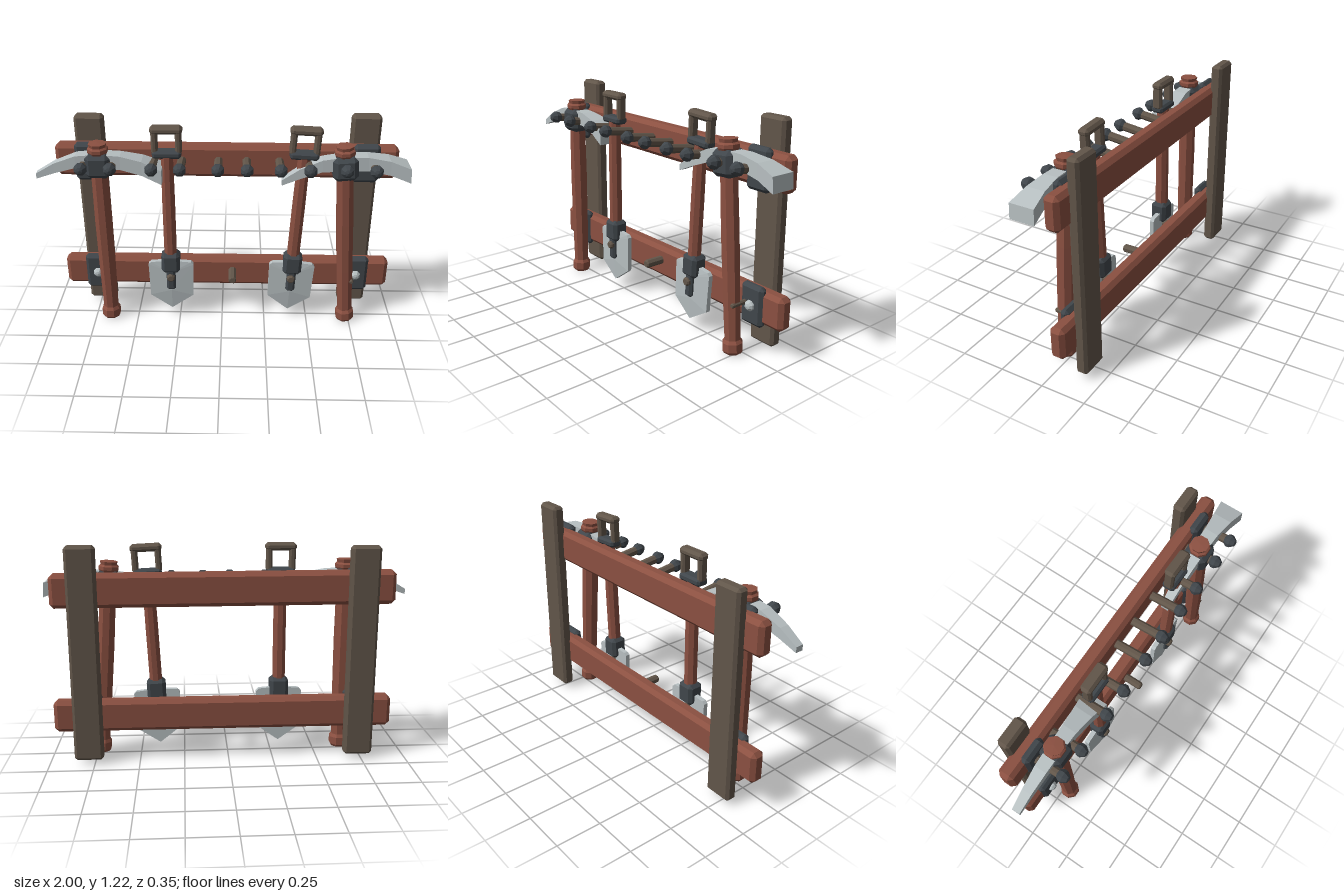
import * as THREE from 'three';
import { ConvexGeometry } from 'three/addons/geometries/ConvexGeometry.js';

const material = (name, color) => {
  const m = new THREE.MeshStandardMaterial({ color });
  m.name = name;
  return m;
};

// Faceted normals without changing the material
const flat = (geo) => {
  const g = geo.index ? geo.toNonIndexed() : geo;
  g.computeVertexNormals();
  return g;
};

// Box with chamfered edges, given by its size and chamfer width
function chamferBox(w, h, d, c) {
  const a = w / 2, b = h / 2, e = d / 2, pts = [];
  for (const x of [-1, 1]) for (const y of [-1, 1]) for (const z of [-1, 1]) {
    pts.push(
      new THREE.Vector3(x * a, y * (b - c), z * (e - c)),
      new THREE.Vector3(x * (a - c), y * b, z * (e - c)),
      new THREE.Vector3(x * (a - c), y * (b - c), z * e));
  }
  return new ConvexGeometry(pts);
}

// Faceted turned shape from [radius, height] pairs, flat side forward
function turned(profile, sides = 8) {
  const pts = profile.map(([r, y]) => new THREE.Vector2(r, y));
  return flat(new THREE.LatheGeometry(pts, sides, Math.PI / sides));
}

export function createModel() {
  const model = new THREE.Group();
  model.name = 'toolRack';
  const redWood = material('redWood', 0x8b5041);
  const darkWood = material('darkWood', 0x62564a);
  const iron = material('iron', 0x40464b);
  const steel = material('steel', 0xb8c0c2);

  const add = (parent, name, geo, mat, x = 0, y = 0, z = 0) => {
    const mesh = new THREE.Mesh(geo, mat);
    mesh.name = name;
    mesh.position.set(x, y, z);
    parent.add(mesh);
    return mesh;
  };

  // Rack frame: two posts and two rails
  add(model, 'rightPost', chamferBox(0.16, 1.18, 0.068, 0.015), darkWood, -0.73, 0.62, -0.143);
  add(model, 'leftPost', chamferBox(0.16, 1.19, 0.068, 0.015), darkWood, 0.78, 0.625, -0.143);
  const topRail = add(model, 'topRail', chamferBox(1.87, 0.185, 0.085, 0.022), redWood, 0.022, 0.975, -0.084);
  topRail.rotation.z = -0.003;
  add(model, 'bottomRail', chamferBox(1.89, 0.18, 0.085, 0.022), redWood, 0.025, 0.268, -0.08);

  // Iron plates and rivets where rails cross posts
  for (const x of [-0.73, 0.78]) {
    add(model, 'topPlate', chamferBox(0.145, 0.22, 0.05, 0.018), iron, x, 0.975, -0.046);
    add(model, 'bottomPlate', chamferBox(0.145, 0.22, 0.05, 0.018), iron, x, 0.27, -0.046);
    const rivet = add(model, 'rivet', turned([[0.03, 0], [0.028, 0.012], [0.016, 0.024], [0, 0.028]]), steel, x, 0.27, -0.023);
    rivet.rotation.x = Math.PI / 2;
  }

  // Hanging pegs with iron knobs, tipped slightly upward
  const pegGeo = turned([[0, 0], [0.024, 0], [0.024, 0.185], [0, 0.185]]);
  const knobGeo = turned([[0, 0.155], [0.022, 0.155], [0.035, 0.174], [0.035, 0.192], [0.018, 0.216], [0, 0.222]]);
  for (const x of [-0.74, -0.587, -0.37, -0.22, -0.02, 0.133, 0.31, 0.465, 0.655, 0.808]) {
    const peg = new THREE.Group();
    peg.name = 'peg';
    add(peg, 'pegShaft', pegGeo, darkWood);
    add(peg, 'pegKnob', knobGeo, iron);
    peg.position.set(x, 0.985, -0.045);
    peg.rotation.x = Math.PI / 2 - 0.13;
    model.add(peg);
  }

  // Short plain pegs on the bottom rail
  for (const [x, y] of [[-0.295, 0.29], [0.06, 0.282], [0.397, 0.29], [0.745, 0.28]]) {
    const r = x > 0.7 ? 0.013 : 0.024;
    const peg = add(model, 'lowerPeg', turned([[0, 0], [r, 0], [r, 0.112], [r * 0.7, 0.12], [0, 0.12]]), darkWood, x, y, -0.045);
    peg.rotation.x = Math.PI / 2;
  }

  // Pick head: stations of [x, bottom, top, half depth], point to chisel
  const stations = [
    [-0.34, 0.915, 0.945, 0.022], [-0.24, 0.95, 1.005, 0.027], [-0.12, 0.985, 1.052, 0.034],
    [0, 0.98, 1.063, 0.036], [0.12, 0.978, 1.055, 0.04], [0.235, 0.95, 1.03, 0.052],
    [0.34, 0.905, 0.985, 0.068]];
  const headGeo = new THREE.BoxGeometry(6, 2, 2, 6, 1, 1);
  const pos = headGeo.attributes.position;
  for (let i = 0; i < pos.count; i++) {
    const [x, low, high, depth] = stations[Math.round(pos.getX(i) + 3)];
    pos.setXYZ(i, x, pos.getY(i) > 0 ? high : low, Math.sign(pos.getZ(i)) * depth);
  }
  const pickHead = flat(headGeo);

  function pick(x, tilt) {
    const g = new THREE.Group();
    g.name = 'pick';
    add(g, 'pickHandle', turned([[0.043, 0.06], [0.047, 0.35], [0.049, 0.65], [0.045, 1.08]]), redWood);
    add(g, 'pickPommel', turned([[0, 0.008], [0.046, 0.008], [0.055, 0.022], [0.055, 0.065], [0.043, 0.083]]), redWood);
    add(g, 'pickCap', turned([[0.045, 1.05], [0.057, 1.07], [0.057, 1.088], [0.046, 1.097], [0.05, 1.115], [0, 1.118]]), redWood);
    add(g, 'pickHead', pickHead, steel);
    add(g, 'pickCollar', chamferBox(0.135, 0.135, 0.13, 0.024), iron, 0, 0.997, 0);
    g.position.set(x, 0, 0.037);
    g.rotation.z = tilt;
    model.add(g);
  }
  pick(-0.66, 0);
  pick(0.73, 0.075);

  // Shovel blade: pointed plate with a shallow front ridge
  const bladePts = [[-0.13, 0.30], [-0.115, 0.315], [0, 0.325], [0.115, 0.315], [0.13, 0.30], [0.125, 0.09], [0, 0], [-0.125, 0.09]]
    .flatMap(([x, y]) => [new THREE.Vector3(x, y, -0.016), new THREE.Vector3(x, y, 0.01)]);
  bladePts.push(new THREE.Vector3(0, 0.25, 0.02), new THREE.Vector3(0, 0.13, 0.02));
  const bladeGeo = new ConvexGeometry(bladePts);

  function shovel(x, tilt) {
    const g = new THREE.Group();
    g.name = 'shovel';
    add(g, 'shovelBlade', bladeGeo, steel);
    add(g, 'shovelSpine', chamferBox(0.052, 0.16, 0.05, 0.012), iron, 0, 0.22, 0.015);
    add(g, 'shovelSocket', chamferBox(0.105, 0.125, 0.095, 0.018), iron, 0, 0.32, 0);
    add(g, 'shovelShaft', turned([[0.037, 0.35], [0.037, 0.7], [0.034, 1.0]]), redWood);
    // D-shaped grip
    add(g, 'gripBase', chamferBox(0.155, 0.042, 0.07, 0.012), iron, 0, 0.992, 0);
    for (const s of [-1, 1]) add(g, 'gripSide', chamferBox(0.034, 0.14, 0.052, 0.01), darkWood, s * 0.064, 1.065, 0);
    add(g, 'gripBar', chamferBox(0.172, 0.042, 0.062, 0.014), darkWood, 0, 1.128, 0);
    g.position.set(x, 0.06, 0.02);
    g.rotation.z = tilt;
    model.add(g);
  }
  shovel(-0.295, 0);
  shovel(0.388, -0.05);

  return model;
}
